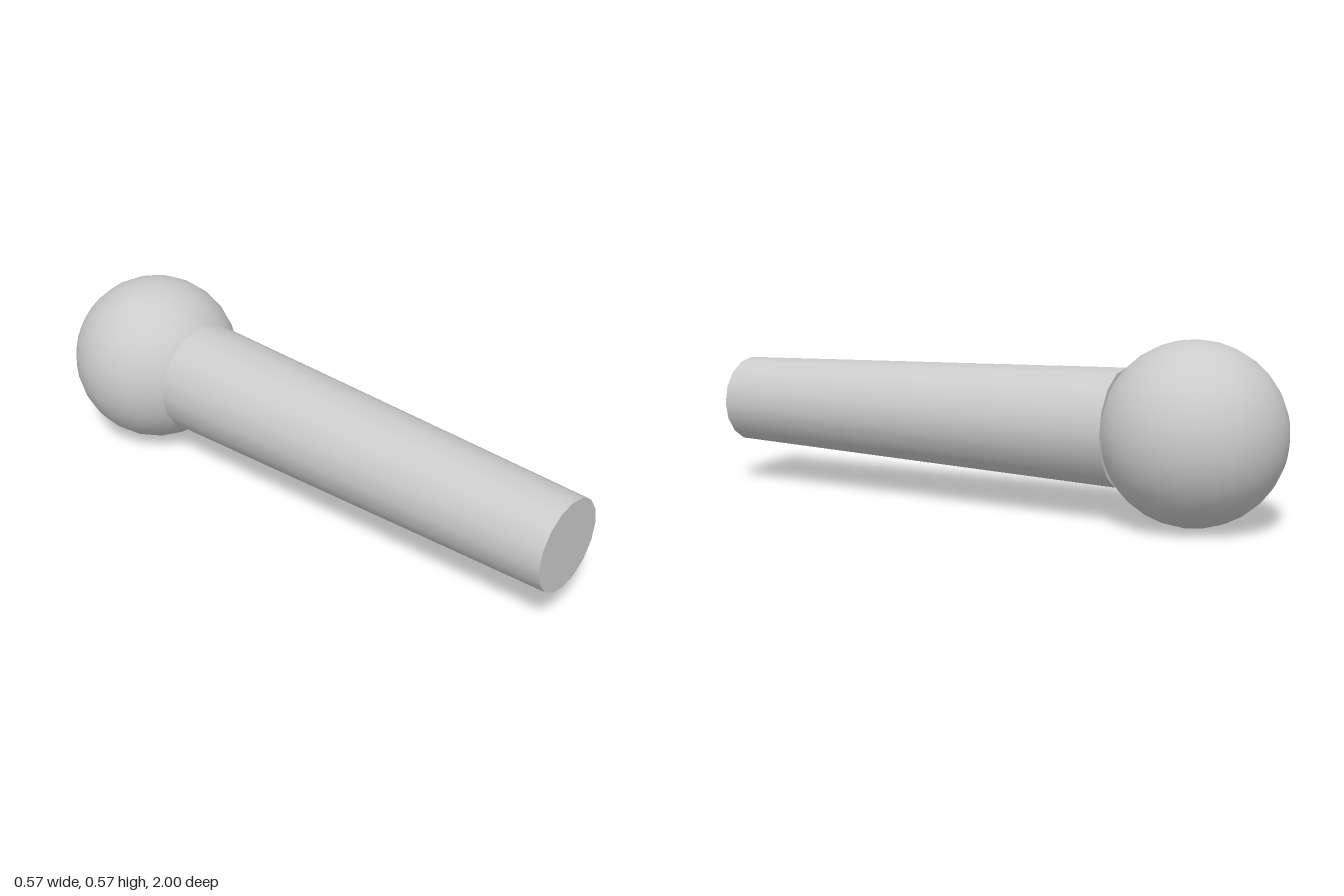
import * as THREE from 'three';

export function createModel() {
  const model = new THREE.Group();
  const material = new THREE.MeshStandardMaterial({ color: 0xcccccc });
  const headRadius = 0.287;
  const shaftBack = -0.487, shaftFront = 1;

  // Both parts are turned so their axis runs along z
  function addPart(name, geometry, z) {
    geometry.rotateX(Math.PI / 2);
    const mesh = new THREE.Mesh(geometry, material);
    mesh.name = name;
    mesh.position.set(0, headRadius, z);
    model.add(mesh);
  }

  // Round head at the back
  addPart('head', new THREE.SphereGeometry(headRadius, 32, 16), headRadius - 1);

  // Tapered handle, narrower at the front, with flat end caps
  addPart('handle',
    new THREE.CylinderGeometry(0.15, 0.19, shaftFront - shaftBack, 16),
    (shaftFront + shaftBack) / 2);

  return model;
}
